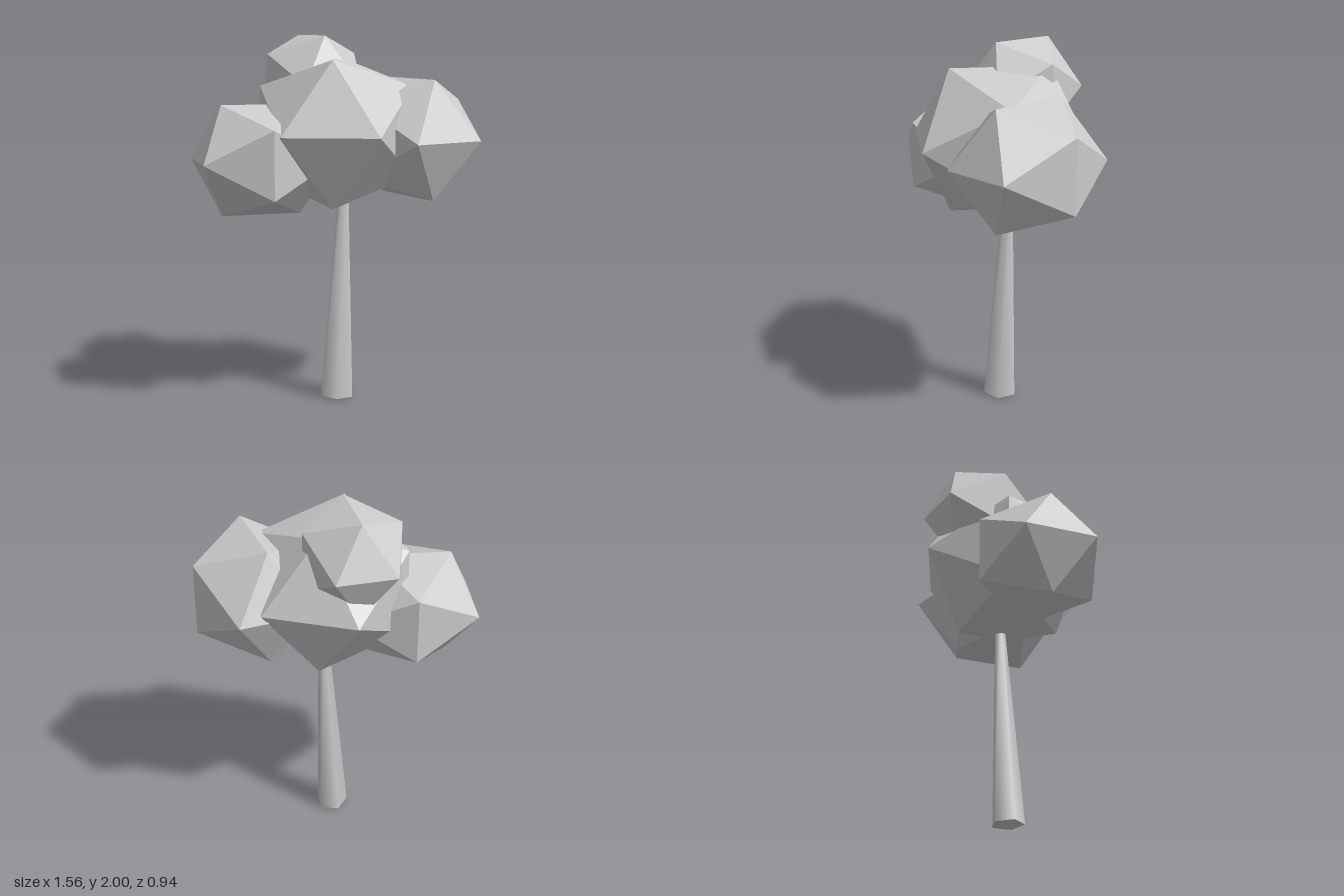
import * as THREE from 'three';

export function createModel() {
  const tree = new THREE.Group();
  tree.name = 'tree';
  const grey = new THREE.MeshStandardMaterial({ color: 0xcccccc });
  grey.name = 'light grey';

  // Foliage: faceted clumps, each with a centre, radii and a turn about y
  const clumpGeometry = new THREE.IcosahedronGeometry(1, 0);
  const addClump = (name, position, radii, turn) => {
    const clump = new THREE.Mesh(clumpGeometry, grey);
    clump.name = name;
    clump.position.set(...position);
    clump.scale.set(...radii);
    clump.rotation.y = turn;
    tree.add(clump);
  };
  addClump('middleFoliage', [0.01, 1.49, 0.015], [0.514, 0.458, 0.485], 1.5);
  addClump('leftFoliage', [0.41, 1.447, -0.048], [0.436, 0.38, 0.39], 2.122);
  addClump('rightFoliage', [-0.393, 1.345, 0.132], [0.405, 0.347, 0.378], 0.274);
  addClump('topFoliage', [-0.125, 1.74, -0.138], [0.337, 0.306, 0.306], 2.003);

  // Trunk: smooth five-sided taper, leaning slightly, with its top inside the foliage
  const height = 1.2;
  const trunkGeometry = new THREE.CylinderGeometry(0.026, 0.092, height, 5);
  trunkGeometry.translate(0, height / 2, 0);
  const trunk = new THREE.Mesh(trunkGeometry, grey);
  trunk.name = 'trunk';
  trunk.position.set(0.0125, 0.005, 0.018);
  trunk.rotation.set(-0.034, 0, -0.033);
  tree.add(trunk);

  return tree;
}
